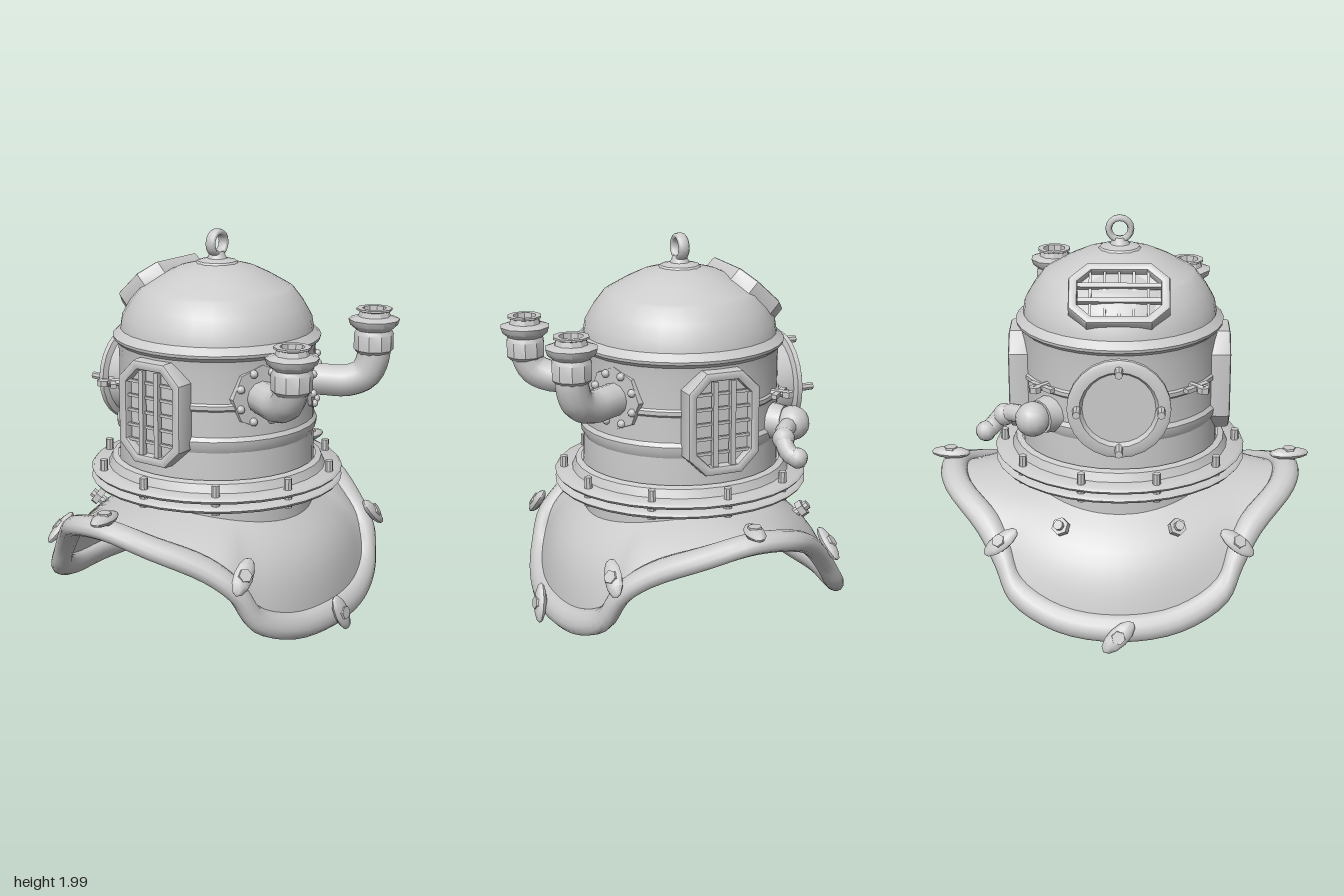
import * as THREE from 'three';
import { toCreasedNormals } from 'three/addons/utils/BufferGeometryUtils.js';
import { ParametricGeometry } from 'three/addons/geometries/ParametricGeometry.js';

const mat = new THREE.MeshStandardMaterial({ color: 0xcccccc, side: THREE.DoubleSide });
const V = (x, y, z) => new THREE.Vector3(x, y, z);
const CZ = 0.05; // helmet axis in z

function mesh(name, geo, parent, pos = [0, 0, 0], crease = 0.6) {
  const m = new THREE.Mesh(crease ? toCreasedNormals(geo, crease) : geo, mat);
  m.name = name;
  m.position.set(...pos);
  parent.add(m);
  return m;
}

const lathe = (pts, seg) => new THREE.LatheGeometry(pts.map(([r, y]) => new THREE.Vector2(r, y)), seg);

// Turn an object so its +z follows normal and its +y follows up
function place(obj, pos, normal, up = V(0, 1, 0)) {
  const z = normal.clone().normalize();
  const x = up.clone().cross(z).normalize();
  const y = z.clone().cross(x);
  obj.quaternion.setFromRotationMatrix(new THREE.Matrix4().makeBasis(x, y, z));
  obj.position.copy(pos);
  return obj;
}

function group(name, parent) {
  const g = new THREE.Group();
  g.name = name;
  parent.add(g);
  return g;
}

// Elongated octagon outline
function octagon(Type, w, h, c) {
  const s = new Type();
  [[w, h - c], [w - c, h], [c - w, h], [-w, h - c], [-w, c - h], [c - w, -h], [w - c, -h], [w, c - h]]
    .forEach(([x, y], i) => (i ? s.lineTo(x, y) : s.moveTo(x, y)));
  s.closePath();
  return s;
}

// Barred window facing +z, its outer face at z = 0
function grilleWindow(name, parent, depth) {
  const g = group(name, parent);
  const shape = octagon(THREE.Shape, 0.19, 0.262, 0.095);
  shape.holes.push(octagon(THREE.Path, 0.142, 0.215, 0.07));
  const frame = new THREE.ExtrudeGeometry(shape, {
    depth: depth - 0.03, bevelEnabled: true, bevelThickness: 0.015, bevelSize: 0.014, bevelOffset: -0.014, bevelSegments: 2 });
  mesh('windowFrame', frame, g, [0, 0, 0.015 - depth], 0.5);
  mesh('windowPane', new THREE.ShapeGeometry(octagon(THREE.Shape, 0.15, 0.225, 0.07)), g, [0, 0, -0.045]);
  for (const x of [-0.047, 0.047])
    mesh('uprightBar', new THREE.BoxGeometry(0.026, 0.43, 0.028), g, [x, 0, -0.014]);
  for (let i = 0; i < 5; i++)
    mesh('crossBar', new THREE.BoxGeometry(0.285, 0.014, 0.016), g, [0, (i - 2) * 0.075, -0.025]);
  return g;
}

// Bent pipe on a riveted plate, ending in a cup
function airPipe(name, parent, side, top) {
  const g = group(name, parent);
  const dir = V(side * 0.46, 0, 0.89).normalize();
  const at = (r, y) => V(dir.x * r, y, CZ + dir.z * r);
  const plate = group('pipePlate', g);
  place(plate, at(0.46, 1.245), dir);
  mesh('plate', new THREE.CylinderGeometry(0.16, 0.17, 0.07, 8).rotateX(Math.PI / 2), plate, [0, 0, 0.01]);
  for (let i = 0; i < 8; i++) {
    const a = (i + 0.5) * Math.PI / 4;
    mesh('rivet', new THREE.SphereGeometry(0.021, 8, 6), plate, [Math.cos(a) * 0.13, Math.sin(a) * 0.13, 0.05], 0);
  }
  const path = new THREE.CatmullRomCurve3([at(0.42, 1.245), at(0.56, 1.24), at(0.67, 1.24), at(0.76, 1.28),
    at(0.8, 1.37), at(0.8, top - 0.15)]);
  mesh('pipe', new THREE.TubeGeometry(path, 20, 0.083, 12), g, [0, 0, 0], 0);
  const end = at(0.8, top);
  mesh('pipeCup', lathe([[0.08, -0.23], [0.1, -0.21], [0.1, -0.13], [0.09, -0.11], [0.12, -0.085], [0.13, -0.055],
    [0.082, -0.04], [0.075, -0.015], [0.09, -0.01], [0.09, 0], [0.06, 0], [0.055, -0.05], [0, -0.05]], 10),
    g, end.toArray());
}

// Wing nut: flat face on z, long axis on y
function clamp(parent, pos, normal, along) {
  const g = place(group('rimClamp', parent), V(...pos), V(...normal), V(...along));
  mesh('wing', new THREE.SphereGeometry(1, 10, 6).scale(0.05, 0.105, 0.03), g, [0, 0, 0], 0.7);
  mesh('clampNut', new THREE.CylinderGeometry(0.034, 0.042, 0.055, 6).rotateX(Math.PI / 2), g, [0, 0, 0.005]);
}

export function createModel() {
  const root = new THREE.Group();
  root.name = 'divingHelmet';

  // Domed helmet body with brim and raised bands
  mesh('helmetBody', lathe([[0.505, 0.56], [0.505, 0.84], [0.5, 0.97], [0.515, 1.0], [0.518, 1.03], [0.503, 1.05],
    [0.503, 1.18], [0.512, 1.19], [0.512, 1.21], [0.503, 1.22], [0.503, 1.38], [0.508, 1.43], [0.53, 1.45], [0.533, 1.465],
    [0.495, 1.5], [0.485, 1.56], [0.445, 1.63], [0.392, 1.7], [0.375, 1.71], [0.28, 1.765], [0.2, 1.803], [0.1, 1.83],
    [0, 1.835]], 32), root, [0, 0, CZ], 0.45);

  // Bolted neck flange of two plates
  const flange = group('neckFlange', root);
  mesh('collar', lathe([[0.515, 0.7], [0.565, 0.78], [0.545, 0.825], [0.515, 0.835]], 32), flange, [0, 0, CZ]);
  for (const y of [0.72, 0.768])
    mesh('flangePlate', lathe([[0.515, -0.015], [0.64, -0.015], [0.653, 0], [0.64, 0.015], [0.515, 0.015]], 32),
      flange, [0, y, CZ], 0.9);
  for (let i = 0; i < 10; i++) {
    const a = i * Math.PI / 5;
    const p = [Math.cos(a) * 0.605, 0.765, CZ + Math.sin(a) * 0.605];
    mesh('flangeBolt', new THREE.CylinderGeometry(0.02, 0.022, 0.15, 8), flange, p);
  }

  // Rim path: one half, then mirrored
  const half = [[0, 0.105, 0.77], [0.3, 0.125, 0.735], [0.51, 0.215, 0.665], [0.59, 0.37, 0.6], [0.66, 0.47, 0.48],
    [0.8, 0.575, 0.25], [0.875, 0.64, 0.04], [0.835, 0.61, -0.18], [0.67, 0.49, -0.38], [0.59, 0.37, -0.49],
    [0.52, 0.23, -0.59], [0.3, 0.125, -0.7], [0, 0.1, -0.755]];
  const loop = [...half, ...half.slice(1, -1).reverse().map(([x, y, z]) => [-x, y, z])];
  const rim = new THREE.CatmullRomCurve3(loop.map((p) => V(...p)), true);

  // Neck end of the shell: dips towards front and back
  const neckPoint = (p) => {
    const a = Math.atan2(p.z - CZ, p.x);
    return V(Math.cos(a) * 0.505, 0.67 - 0.09 * Math.sin(a) ** 2, CZ + Math.sin(a) * 0.505);
  };

  // Breastplate shell lofted from neck circle to rim
  const shell = (u, v, out) => {
    const p = rim.getPoint(u % 1);
    const n = neckPoint(p);
    const bulge = Math.sin(v * Math.PI) * 0.1 * (n.y - p.y);
    out.lerpVectors(n, p, v);
    out.x += n.x * 2 * bulge;
    out.z += (n.z - CZ) * 2 * bulge;
    out.y += bulge;
  };
  mesh('corselet', new ParametricGeometry(shell, 72, 8), root, [0, 0, 0], 0.9);

  // Rolled rim of oval section, wide in the plane of the shell
  const roll = (u, v, out) => {
    const p = rim.getPoint(u % 1);
    const wide = p.clone().sub(neckPoint(p)).normalize();
    const thick = rim.getTangent(u % 1).cross(wide).normalize();
    out.copy(p).addScaledVector(wide, Math.cos(v * Math.PI * 2) * 0.07)
      .addScaledVector(thick, Math.sin(v * Math.PI * 2) * 0.05);
  };
  mesh('corseletRim', new ParametricGeometry(roll, 96, 12), root, [0, 0, 0], 0.9);

  // Wing clamps around the rim, and bolts on the back of the shell
  for (const s of [-1, 1]) {
    clamp(root, [s * 0.895, 0.705, 0.04], [0, 1, 0], [1, 0, s * 0.15]);
    clamp(root, [s * 0.595, 0.455, 0.65], [s * 0.4, 0.55, 0.75], [s * 0.8, -0.5, 0.3]);
    clamp(root, [s * 0.595, 0.455, -0.52], [s * 0.4, 0.65, -0.6], [s * 0.9, -0.2, -0.4]);
    const bolt = place(group('shellBolt', root), V(s * 0.28, 0.525, -0.5), V(s * 0.35, 0.6, -0.7));
    mesh('boltShaft', new THREE.CylinderGeometry(0.025, 0.025, 0.14, 8).rotateX(Math.PI / 2), bolt);
    mesh('boltNut', new THREE.CylinderGeometry(0.045, 0.045, 0.035, 6).rotateX(Math.PI / 2), bolt, [0, 0, 0.03]);
  }
  clamp(root, [0, 0.12, 0.835], [0, 0.2, 1], [-0.4, 1, 0]);
  clamp(root, [0, 0.09, -0.83], [0, 0.4, -1], [0.085, -0.075, -0.035]);

  // Barred windows on both sides and the upper back
  for (const s of [-1, 1])
    place(grilleWindow('sideWindow', root, 0.115), V(s * 0.565, 1.155, CZ), V(s, 0, 0));
  const upper = place(grilleWindow('upperWindow', root, 0.1), V(0, 1.715, -0.335), V(0, 0.75, -0.7), V(1, 0, 0));
  upper.scale.set(0.88, 0.95, 1);

  // Round back window with four bolts
  const port = place(group('backWindow', root), V(0, 1.18, -0.48), V(0, 0, -1));
  mesh('portFrame', lathe([[0.225, -0.1], [0.225, 0.015], [0.255, 0.025], [0.255, 0.05], [0.235, 0.06], [0.195, 0.06],
    [0.18, 0.035], [0, 0.035]], 24).rotateX(Math.PI / 2), port);
  for (let i = 0; i < 4; i++) {
    const a = i * Math.PI / 2;
    const p = [Math.cos(a) * 0.205, Math.sin(a) * 0.205];
    mesh('portBolt', new THREE.CylinderGeometry(0.019, 0.022, 0.09, 8).rotateX(Math.PI / 2), port, [...p, 0.085]);
  }

  airPipe('rightAirPipe', root, -1, 1.56);
  airPipe('leftAirPipe', root, 1, 1.62);

  // Outlet valve on the model's left rear
  const valve = group('outletValve', root);
  place(mesh('valveBase', new THREE.CylinderGeometry(0.085, 0.1, 0.1, 12).rotateX(Math.PI / 2), valve),
    V(0.36, 1.07, -0.32), V(0.7, 0, -0.7));
  mesh('valveBall', new THREE.SphereGeometry(0.088, 14, 10), valve, [0.43, 1.07, -0.385], 0);
  const arm = new THREE.CatmullRomCurve3([V(0.45, 1.07, -0.36), V(0.54, 1.065, -0.285), V(0.6, 1.03, -0.255),
    V(0.64, 0.985, -0.265), V(0.675, 0.965, -0.295)]);
  mesh('valveArm', new THREE.TubeGeometry(arm, 14, 0.046, 10), valve, [0, 0, 0], 0);
  mesh('valveElbow', new THREE.SphereGeometry(0.057, 10, 8), valve, [0.58, 1.045, -0.262], 0);
  mesh('valveTip', new THREE.SphereGeometry(0.052, 10, 8), valve, [0.672, 0.968, -0.295], 0);

  // Small band studs at the rear
  for (const s of [-1, 1]) {
    const stud = place(group('bandStud', root), V(s * 0.385, 1.22, -0.33), V(s, 0, -1));
    mesh('studShaft', new THREE.CylinderGeometry(0.02, 0.02, 0.1, 8).rotateX(Math.PI / 2), stud);
    mesh('studNut', new THREE.CylinderGeometry(0.032, 0.032, 0.03, 6), stud, [0, 0, 0.045]);
    mesh('studBar', new THREE.BoxGeometry(0.16, 0.022, 0.03), stud);
  }

  // Lifting eye
  mesh('eyeBase', lathe([[0.115, 1.82], [0.1, 1.838], [0.05, 1.85], [0.033, 1.885], [0, 1.885]], 12), root, [0, 0, CZ]);
  mesh('liftingEye', new THREE.TorusGeometry(0.056, 0.017, 8, 16).scale(1, 1, 1.8), root, [0, 1.927, CZ], 0);

  return root;
}
